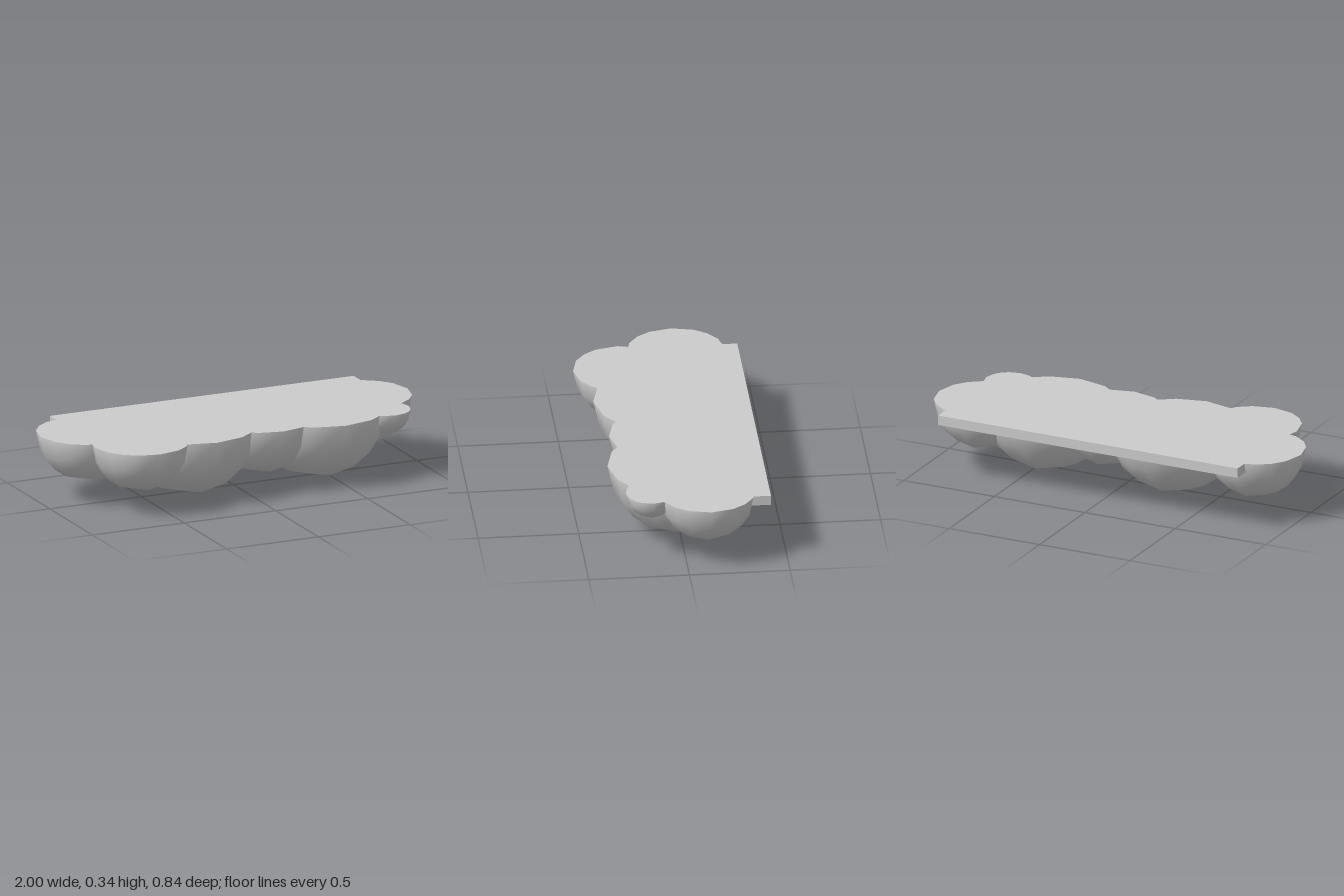
import * as THREE from 'three';

const TOP = 0.342;

// Lower half of a cube-sphere with a flat lid, unit radius, lid at y = 0
function halfBall() {
  const geo = new THREE.BoxGeometry(2, 1, 2, 4, 2, 4).translate(0, -0.5, 0);
  const pos = geo.attributes.position;
  const nor = geo.attributes.normal;
  const p = new THREE.Vector3();
  for (let i = 0; i < pos.count; i++) {
    p.fromBufferAttribute(pos, i);
    const shell = Math.max(Math.abs(p.x), Math.abs(p.y), Math.abs(p.z));
    p.normalize();
    if (nor.getY(i) < 0.5) nor.setXYZ(i, p.x, p.y, p.z); // lid keeps its flat normal
    p.multiplyScalar(shell);
    pos.setXYZ(i, p.x, p.y, p.z);
  }
  return geo;
}

export function createModel() {
  const model = new THREE.Group();
  model.name = 'cloudPlatform';
  const grey = new THREE.MeshStandardMaterial({ color: 0xcccccc });

  // Cloud puffs hanging below the flat top: name, x, z, radius
  const ball = halfBall();
  const puffs = [
    ['largePuffRight', -0.25, 0.01, 0.342],
    ['largePuffLeft', 0.45, 0.01, 0.342],
    ['middlePuff', 0.13, 0.035, 0.277],
    ['frontPuffRight', -0.59, 0.173, 0.245],
    ['endPuffRight', -0.753, -0.11, 0.247],
    ['endPuffLeft', 0.753, -0.11, 0.247],
    ['smallPuffLeft', 0.75, 0.165, 0.127],
  ];
  for (const [name, x, z, r] of puffs) {
    const puff = new THREE.Mesh(ball, grey);
    puff.name = name;
    puff.position.set(x, TOP, z);
    puff.scale.setScalar(r);
    model.add(puff);
  }

  // Thin deck flush with the puff tops, jutting out at the back
  const [x0, x1, z0, z1, thick] = [-0.805, 0.85, -0.42, 0.22, 0.05];
  const deck = new THREE.Mesh(new THREE.BoxGeometry(x1 - x0, thick, z1 - z0), grey);
  deck.name = 'deck';
  deck.position.set((x0 + x1) / 2, TOP - thick / 2, (z0 + z1) / 2);
  model.add(deck);

  return model;
}
